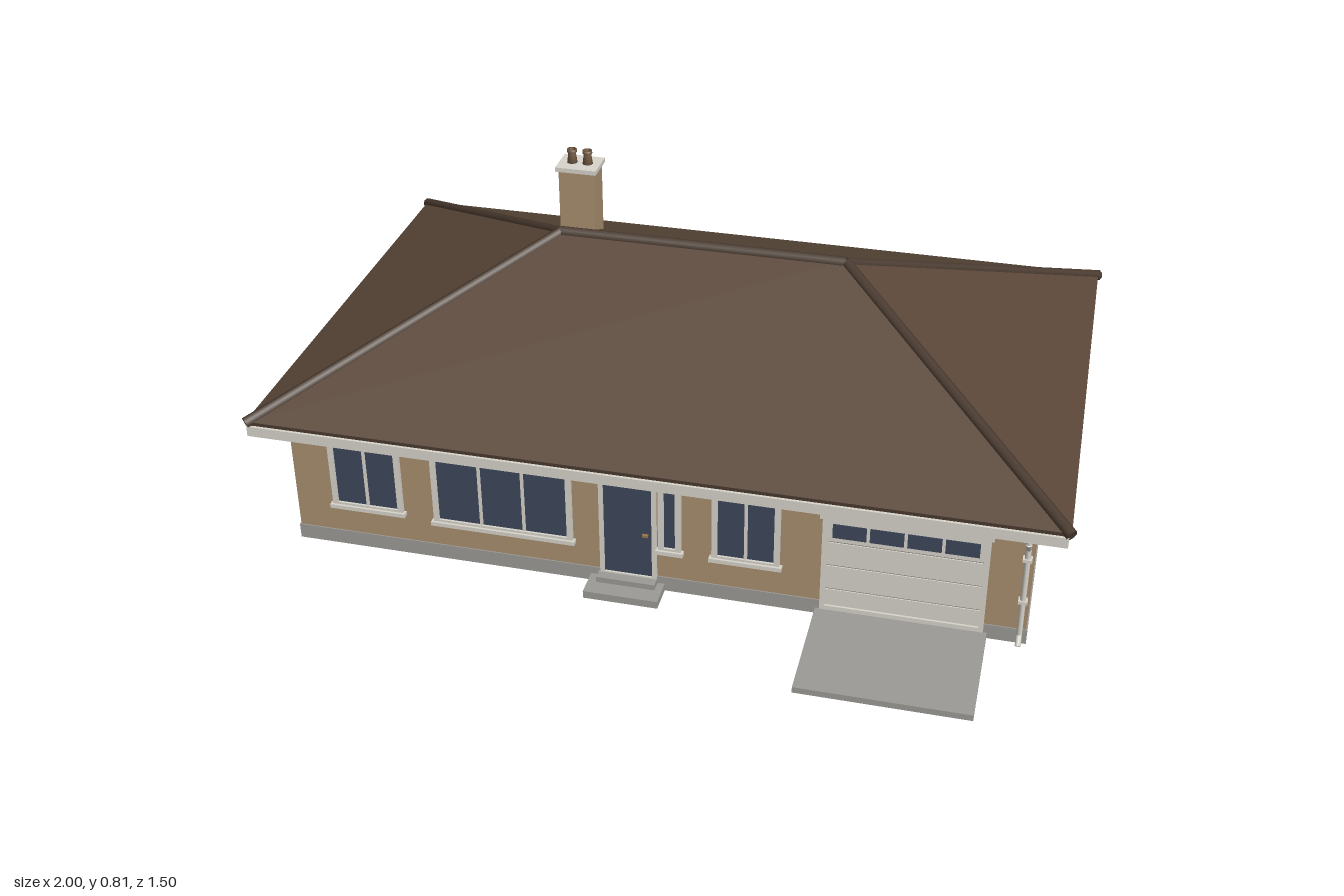
import * as THREE from 'three';

const mat = (name, color, side = THREE.FrontSide) => {
  const m = new THREE.MeshStandardMaterial({ color, side });
  m.name = name;
  return m;
};

export function createModel() {
  const wall = mat('tan render', 0xa88f6e);
  const trim = mat('off-white trim', 0xd8d5cb);
  const roofMat = mat('brown roof', 0x5a4739);
  const capMat = mat('dark ridge tile', 0x493a2f);
  const glass = mat('blue glass', 0x3d485b);
  const stone = mat('grey concrete', 0x9d9b96);
  const groove = mat('grey groove', 0x85827a);
  const clay = mat('clay', 0x7a6148);
  const brass = mat('brass', 0x9a7a48);

  const house = new THREE.Group();
  house.name = 'bungalow';
  const CZ = -0.11, HX = 0.915, HZ = 0.556; // wall centre and half sizes

  // box given by its limits on each axis
  function box(parent, name, m, x0, x1, y0, y1, z0, z1) {
    const mesh = new THREE.Mesh(new THREE.BoxGeometry(x1 - x0, y1 - y0, z1 - z0), m);
    mesh.position.set((x0 + x1) / 2, (y0 + y1) / 2, (z0 + z1) / 2);
    mesh.name = name;
    parent.add(mesh);
    return mesh;
  }
  // straight round bar between two points
  function rod(parent, name, m, a, b, r, sides = 8) {
    const A = new THREE.Vector3(...a), B = new THREE.Vector3(...b);
    const mesh = new THREE.Mesh(new THREE.CylinderGeometry(r, r, A.distanceTo(B), sides), m);
    mesh.position.copy(A).add(B).multiplyScalar(0.5);
    mesh.quaternion.setFromUnitVectors(new THREE.Vector3(0, 1, 0), B.sub(A).normalize());
    mesh.name = name;
    parent.add(mesh);
  }

  // body
  box(house, 'plinth', stone, -HX - 0.003, HX + 0.003, 0, 0.04, CZ - HZ - 0.003, CZ + HZ + 0.003);
  box(house, 'walls', wall, -HX, HX, 0.04, 0.36, CZ - HZ, CZ + HZ);
  box(house, 'soffit', trim, -0.98, 0.98, 0.358, 0.373, CZ - 0.62, CZ + 0.62);

  // hipped roof: eave ring, edge ring and ridge
  const EX = 0.99, EZ = 0.63, RX = 0.37, Y0 = 0.371, Y1 = 0.382, YR = 0.668;
  const ring = (y) => [[-EX, y, CZ + EZ], [EX, y, CZ + EZ], [EX, y, CZ - EZ], [-EX, y, CZ - EZ]];
  const lo = ring(Y0), hi = ring(Y1);
  const ridgeL = [-RX, YR, CZ], ridgeR = [RX, YR, CZ];
  function faces(name, m, polys) {
    const p = [];
    for (const f of polys) for (let i = 1; i < f.length - 1; i++) p.push(...f[0], ...f[i], ...f[i + 1]);
    const g = new THREE.BufferGeometry();
    g.setAttribute('position', new THREE.Float32BufferAttribute(p, 3));
    g.computeVertexNormals();
    const mesh = new THREE.Mesh(g, m);
    mesh.name = name;
    house.add(mesh);
  }
  faces('roof', roofMat, [
    [hi[0], hi[1], ridgeR, ridgeL], [hi[1], hi[2], ridgeR],
    [hi[2], hi[3], ridgeL, ridgeR], [hi[3], hi[0], ridgeL],
  ]);
  const edge = [[lo[3], lo[2], lo[1], lo[0]]];
  for (let i = 0; i < 4; i++) {
    const j = (i + 1) % 4;
    edge.push([lo[i], lo[j], hi[j], hi[i]]);
  }
  faces('roofEdge', capMat, edge);

  // hip and ridge tiles
  rod(house, 'ridgeTile', capMat, [-RX, YR - 0.007, CZ], [RX, YR - 0.007, CZ], 0.016);
  hi.forEach((c, i) => rod(house, 'hipTile', capMat,
    [c[0], c[1] - 0.005, c[2]], [i % 3 ? RX : -RX, YR - 0.007, CZ], 0.015));

  // gutters and downpipes, one pipe at each of two opposite corners
  for (const s of [1, -1]) {
    const z = (d) => CZ + s * d;
    const zs = [z(0.612), z(0.637)].sort((a, b) => a - b);
    box(house, 'gutter', trim, -0.985, 0.985, 0.346, 0.373, zs[0], zs[1]);
    const x = s * 0.9;
    const path = [[x, 0.35, z(0.625)], [x, 0.335, z(0.625)], [x, 0.28, z(0.566)],
      [x, 0.03, z(0.566)], [x, 0.01, z(0.585)]];
    for (let i = 0; i < path.length - 1; i++) rod(house, 'downpipe', trim, path[i], path[i + 1], 0.007);
    for (const y of [0.13, 0.25])
      box(house, 'pipeBracket', trim, x - 0.011, x + 0.011, y - 0.004, y + 0.004, z(0.566) - 0.01, z(0.566) + 0.01);
  }

  // one group per wall, with local z = 0 on the wall face
  function side(name, x, z, turn) {
    const g = new THREE.Group();
    g.name = name;
    g.position.set(x, 0, z);
    g.rotation.y = turn;
    house.add(g);
    return g;
  }
  const front = side('frontWall', 0, CZ + HZ, 0);
  const back = side('backWall', 0, CZ - HZ, Math.PI);
  const gableR = side('garageEndWall', HX, CZ, Math.PI / 2);
  const gableL = side('bedroomEndWall', -HX, CZ, -Math.PI / 2);

  // casing with a hole
  function casing(parent, name, x0, x1, y0, y1, t, bottom = t) {
    const rect = (S, a, b, c, d) => new S().moveTo(a, c).lineTo(b, c).lineTo(b, d).lineTo(a, d).closePath();
    const s = rect(THREE.Shape, x0, x1, y0, y1);
    s.holes.push(rect(THREE.Path, x0 + t, x1 - t, y0 + bottom, y1 - t));
    const mesh = new THREE.Mesh(new THREE.ExtrudeGeometry(s, { depth: 0.01, bevelEnabled: false }), trim);
    mesh.name = name;
    parent.add(mesh);
  }
  function windowUnit(parent, cx, w, y0, y1, panes) {
    const x0 = cx - w / 2, x1 = cx + w / 2, t = 0.014;
    casing(parent, 'windowFrame', x0, x1, y0, y1, t);
    box(parent, 'windowGlass', glass, x0 + t, x1 - t, y0 + t, y1 - t, -0.002, 0.004);
    for (let i = 1; i < panes; i++) {
      const x = x0 + t + (w - 2 * t) * i / panes;
      box(parent, 'mullion', trim, x - 0.004, x + 0.004, y0 + t, y1 - t, 0, 0.007);
    }
    box(parent, 'windowSill', trim, x0 - 0.006, x1 + 0.006, y0 - 0.003, y0 + 0.008, 0, 0.016);
    box(parent, 'windowHead', trim, x0 - 0.004, x1 + 0.004, y1 - 0.007, y1 + 0.002, 0, 0.012);
  }
  function door(parent, cx, w, y0, y1, handleX) {
    const x0 = cx - w / 2, x1 = cx + w / 2, t = 0.011;
    casing(parent, 'doorFrame', x0, x1, y0, y1, t, 0.004);
    box(parent, 'doorLeaf', glass, x0 + t, x1 - t, y0 + 0.004, y1 - t, -0.002, 0.005);
    box(parent, 'doorHandle', brass, handleX - 0.009, handleX + 0.005, 0.158, 0.164, 0.005, 0.013);
  }

  // windows: wall, centre, width, bottom, top, panes
  [
    [front, -0.722, 0.186, 0.118, 0.316, 2],
    [front, -0.369, 0.358, 0.108, 0.316, 3],
    [front, 0.054, 0.056, 0.118, 0.31, 1],
    [front, 0.241, 0.166, 0.118, 0.316, 2],
    [back, -0.64, 0.185, 0.118, 0.316, 2],
    [back, -0.167, 0.385, 0.08, 0.316, 2],
    [back, 0.263, 0.142, 0.14, 0.312, 2],
    [back, 0.55, 0.146, 0.14, 0.312, 2],
    [gableR, 0.23, 0.14, 0.143, 0.303, 2],
    [gableL, -0.25, 0.14, 0.143, 0.303, 2],
    [gableL, 0.245, 0.14, 0.143, 0.303, 2],
  ].forEach((a) => windowUnit(...a));

  door(front, -0.05, 0.142, 0.035, 0.316, -0.004);
  door(gableR, -0.094, 0.138, 0.035, 0.304, -0.05);

  // garage door: four ribs over a groove panel, windows in the top rib
  casing(front, 'garageFrame', 0.424, 0.816, 0.02, 0.292, 0.012);
  box(front, 'garageHead', trim, 0.418, 0.822, 0.286, 0.298, 0, 0.014);
  box(front, 'garageGrooves', groove, 0.434, 0.806, 0.03, 0.284, 0, 0.004);
  const ribs = [0.034, 0.084, 0.153, 0.221, 0.282];
  for (let i = 0; i < 4; i++)
    box(front, 'garagePanel', trim, 0.435, 0.805, ribs[i], ribs[i + 1] - 0.004, 0, 0.007);
  for (let i = 0; i < 4; i++) {
    const x = 0.448 + i * 0.088;
    box(front, 'garageWindow', glass, x, x + 0.08, 0.233, 0.272, 0.004, 0.009);
  }

  // entrance steps and driveway
  box(house, 'lowerStep', stone, -0.147, 0.04, 0, 0.02, 0.44, 0.523);
  box(house, 'upperStep', stone, -0.125, 0.022, 0, 0.035, 0.44, 0.48);
  box(house, 'driveway', stone, 0.413, 0.825, 0, 0.016, 0.44, 0.746);

  // chimney with cap and two pots
  box(house, 'chimney', wall, -0.418, -0.322, 0.45, 0.765, -0.33, -0.254);
  box(house, 'chimneyCap', trim, -0.425, -0.315, 0.763, 0.775, -0.337, -0.247);
  for (const x of [-0.391, -0.349]) {
    const pot = new THREE.Mesh(new THREE.LatheGeometry([
      [0, 0], [0.014, 0], [0.01, 0.028], [0.013, 0.03], [0.013, 0.038], [0.008, 0.038], [0.008, 0.012], [0, 0.012],
    ].map((p) => new THREE.Vector2(...p)), 12), clay);
    pot.position.set(x, 0.774, -0.292);
    pot.name = 'chimneyPot';
    house.add(pot);
  }
  return house;
}
